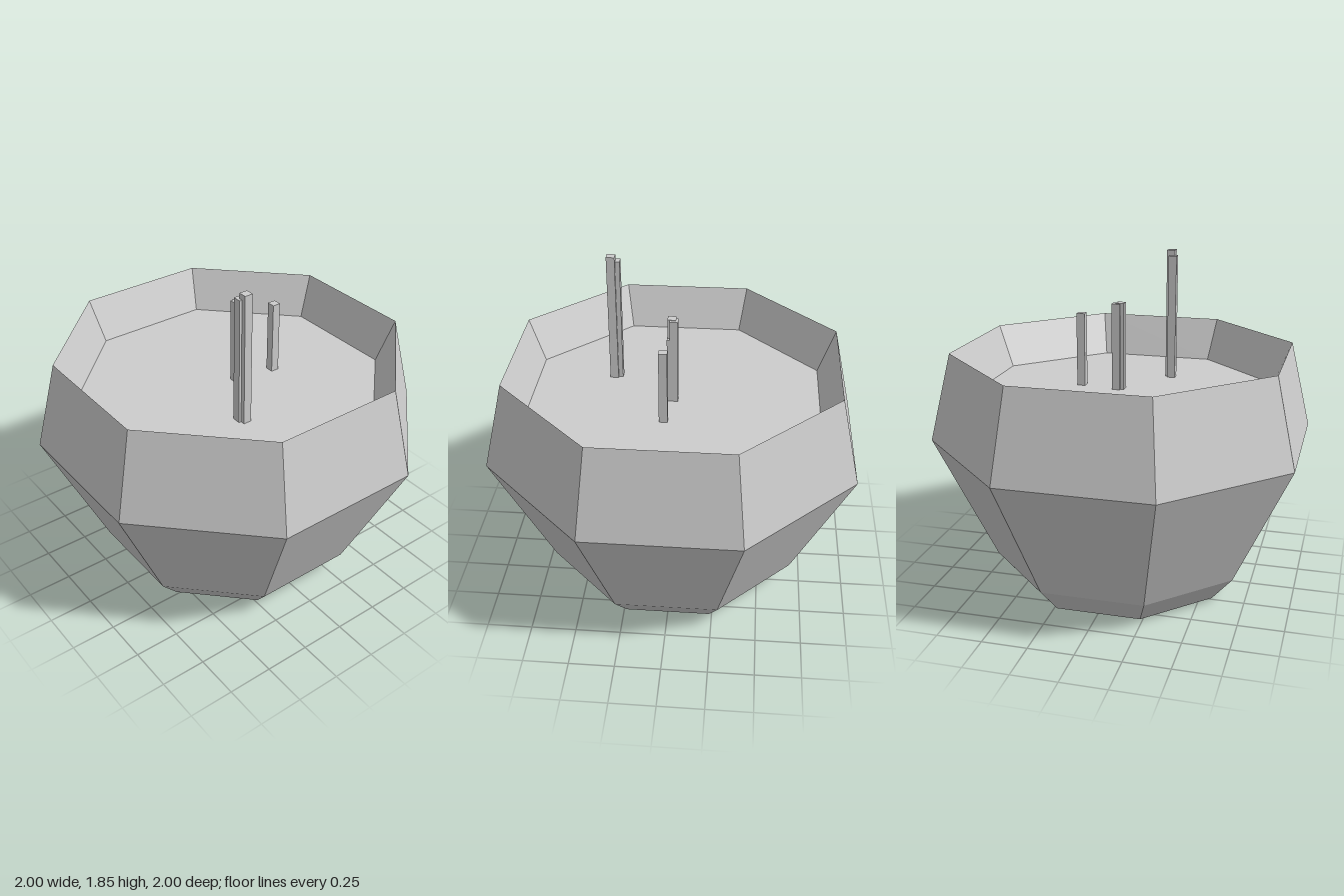
import * as THREE from 'three';

export function createModel() {
  const model = new THREE.Group();
  const grey = new THREE.MeshStandardMaterial({ color: 0xcccccc, flatShading: true });
  grey.name = 'plain grey';

  const SOIL_Y = 1.11;

  // Eight-sided turned form; profile gives [distance to the flat side, height]
  const addOctagon = (name, profile) => {
    const points = profile.map(([r, y]) => new THREE.Vector2(r / Math.cos(Math.PI / 8), y));
    const geometry = new THREE.LatheGeometry(points, 8, Math.PI / 8).toNonIndexed();
    geometry.computeVertexNormals();
    const mesh = new THREE.Mesh(geometry, grey);
    mesh.name = name;
    model.add(mesh);
  };

  // Pot: base, foot, belly, rim, then down the inner wall
  addOctagon('pot', [[0, 0], [0.567, 0], [0.685, 0.15], [1, 0.86], [0.888, 1.35], [0.795, SOIL_Y]]);
  addOctagon('soil', [[0.795, SOIL_Y], [0, SOIL_Y]]);

  // Stalks standing in the soil: x, z, top height
  const stalks = [
    [0.365, 0.182, 1.85],
    [0.34, 0.196, 1.82],
    [0.018, -0.027, 1.6],
    [0.006, -0.047, 1.597],
    [0.02, -0.046, 1.49],
    [0.045, -0.262, 1.525],
  ];
  for (const [x, z, top] of stalks) {
    const stalk = new THREE.Mesh(new THREE.BoxGeometry(0.046, top - SOIL_Y, 0.046), grey);
    stalk.position.set(x, (top + SOIL_Y) / 2, z);
    stalk.name = 'stalk';
    model.add(stalk);
  }

  return model;
}
